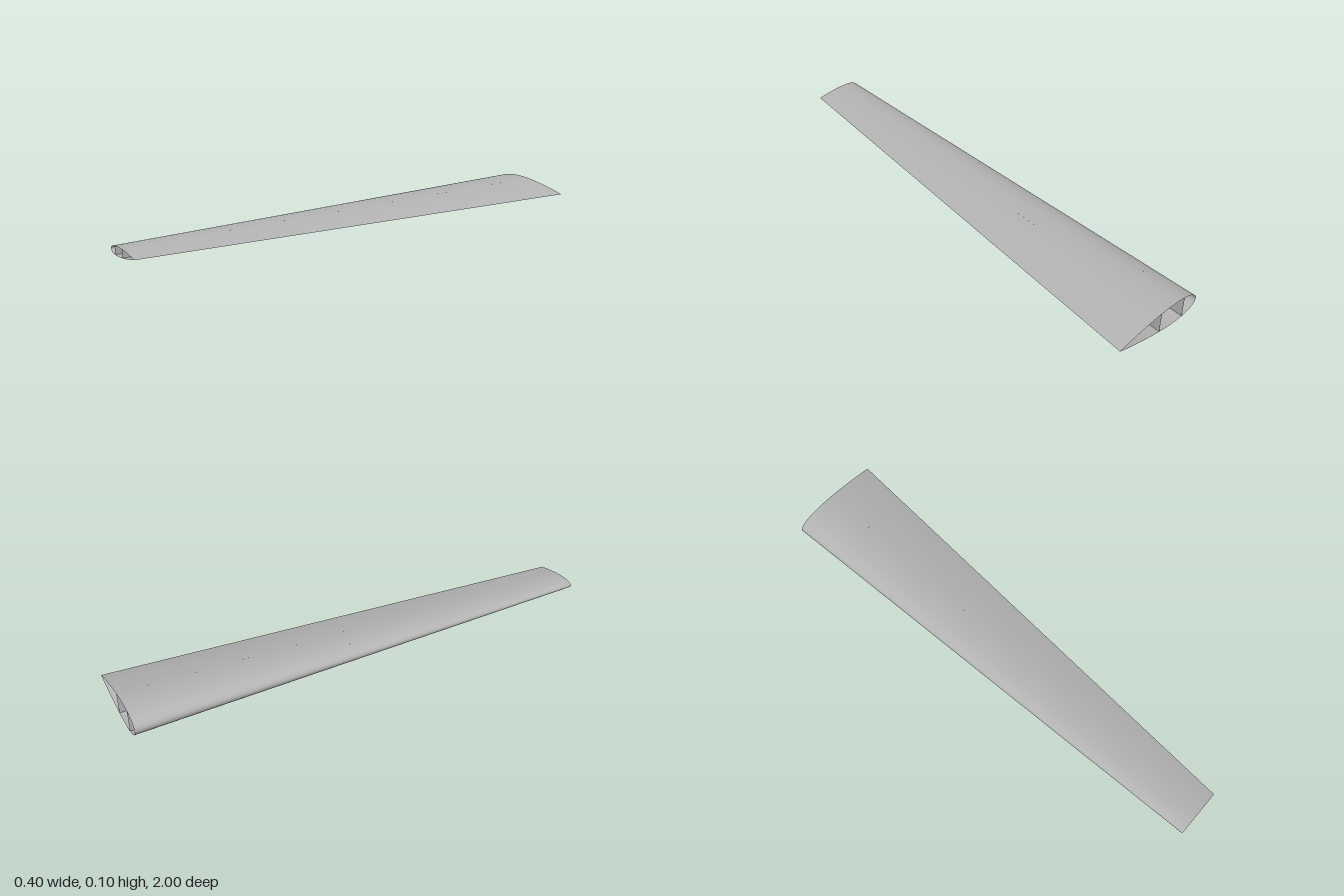
import * as THREE from 'three';

// End sections: leading edge x, chord, thickness ratio, z
const ROOT = { lead: -0.199, chord: 0.397, ratio: 0.24, z: -1 };
const TIP = { lead: -0.14, chord: 0.199, ratio: 0.18, z: 1 };
const MID_Y = 0.0476;
const SPAN_STEPS = 8;
const SIDE_STEPS = 40;

// Half thickness of a symmetric aerofoil with a sharp trailing edge
const halfThickness = (f) =>
  5 * (0.2969 * Math.sqrt(f) - 0.126 * f - 0.3516 * f ** 2 + 0.2843 * f ** 3 - 0.1036 * f ** 4);

// Point at chord fraction f, on the upper (side 1) or lower (side -1) skin, at span s
function wingPoint(f, side, s) {
  const at = (section) => [
    section.lead + section.chord * f,
    MID_Y + side * section.chord * section.ratio * halfThickness(f),
    section.z,
  ];
  const a = at(ROOT), b = at(TIP);
  return a.map((v, i) => v + (b[i] - v) * s);
}

// Lofts a strip through a list of [chord fraction, side] from root to tip
function loft(outline) {
  const positions = [], indices = [];
  const n = outline.length;
  for (let j = 0; j <= SPAN_STEPS; j++) {
    for (const [f, side] of outline) positions.push(...wingPoint(f, side, j / SPAN_STEPS));
  }
  for (let j = 0; j < SPAN_STEPS; j++) {
    for (let i = 0; i < n - 1; i++) {
      const a = j * n + i, b = a + n;
      indices.push(a, a + 1, b, a + 1, b + 1, b);
    }
  }
  const geometry = new THREE.BufferGeometry();
  geometry.setAttribute('position', new THREE.Float32BufferAttribute(positions, 3));
  geometry.setIndex(indices);
  geometry.computeVertexNormals();
  return geometry;
}

export function createModel() {
  const model = new THREE.Group();
  model.name = 'taperedWing';
  const grey = new THREE.MeshStandardMaterial({ color: 0xb4b4b4, side: THREE.DoubleSide });
  grey.name = 'wingGrey';

  const add = (name, outline) => {
    const mesh = new THREE.Mesh(loft(outline), grey);
    mesh.name = name;
    model.add(mesh);
  };

  // Skin: trailing edge, over the top, round the nose and back underneath
  const skin = [];
  for (let i = 0; i <= 2 * SIDE_STEPS; i++) {
    const angle = (Math.PI * i) / SIDE_STEPS;
    skin.push([(1 + Math.cos(angle)) / 2, i <= SIDE_STEPS ? 1 : -1]);
  }
  add('skin', skin);

  // Two upright spars running the whole span; both ends stay open
  add('frontSpar', [[0.175, 1], [0.175, -1]]);
  add('rearSpar', [[0.48, 1], [0.48, -1]]);

  return model;
}
